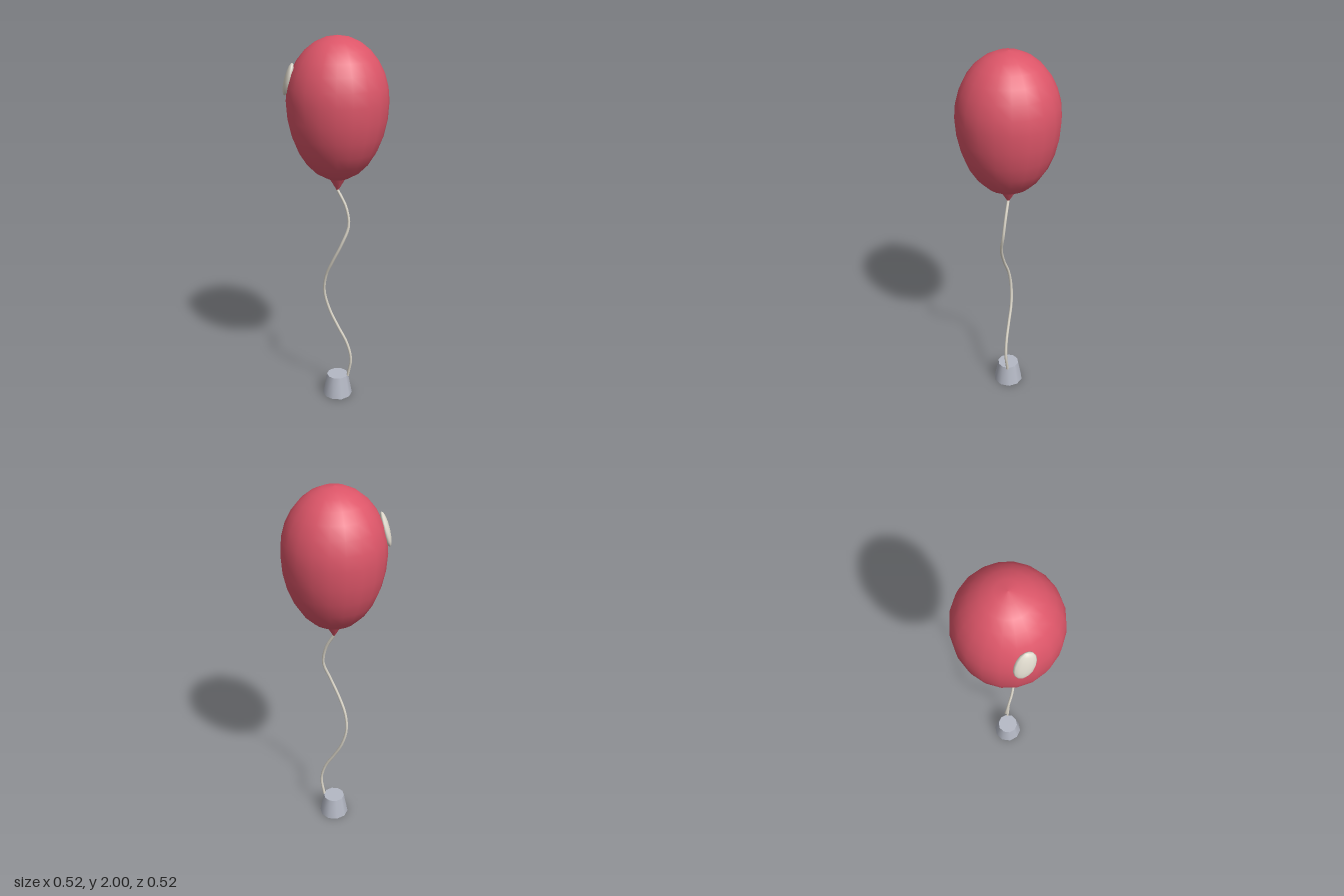
import * as THREE from 'three';

const red = new THREE.MeshStandardMaterial({ name: 'balloon red', color: 0xdc5568 });
const cream = new THREE.MeshStandardMaterial({ name: 'cream', color: 0xded9cc });
const grey = new THREE.MeshStandardMaterial({ name: 'weight grey', color: 0xb4b8c4 });

export function createModel() {
  const model = new THREE.Group();
  model.name = 'balloonOnString';

  function add(name, geometry, material, x = 0, y = 0, z = 0) {
    const mesh = new THREE.Mesh(geometry, material);
    mesh.name = name;
    mesh.position.set(x, y, z);
    model.add(mesh);
    return mesh;
  }

  // Egg-shaped body: short dome above the widest ring, longer taper below
  const profile = [];
  const rows = 14;
  for (let i = 0; i <= rows; i++) {
    const a = -Math.PI / 2 + (Math.PI * i) / rows;
    const s = Math.sin(a);
    const r = i === 0 || i === rows ? 0 : 0.26 * Math.cos(a);
    profile.push(new THREE.Vector2(r, 1.68 + s * (s < 0 ? 0.405 : 0.32)));
  }
  add('balloonBody', new THREE.LatheGeometry(profile, 20), red);

  // Knot: small cone with its tip down
  const knot = add('knot', new THREE.ConeGeometry(0.045, 0.075, 10), red, 0, 1.248, 0);
  knot.rotation.x = Math.PI;

  // Shine: flattened ellipsoid half sunk into the upper front
  const shine = add('shine', new THREE.SphereGeometry(1, 12, 8), cream, -0.121, 1.79, 0.212);
  shine.scale.set(0.05, 0.085, 0.02);
  shine.rotation.set(-0.27, -0.52, -0.28, 'YXZ');

  // Wavy string from the knot down into the weight
  const path = new THREE.CatmullRomCurve3([
    [0, 1.22, 0], [0.041, 1.13, -0.026], [0.06, 1.03, -0.03], [0.045, 0.93, 0.004],
    [0, 0.82, 0.034], [-0.042, 0.73, 0.047], [-0.06, 0.63, 0.046], [-0.043, 0.52, 0.024],
    [0, 0.42, -0.005], [0.041, 0.33, -0.034], [0.06, 0.23, -0.05], [0.041, 0.115, -0.042],
  ].map((p) => new THREE.Vector3(...p)));
  add('string', new THREE.TubeGeometry(path, 40, 0.008, 6), cream);

  // Tapered weight at the base
  add('weight', new THREE.CylinderGeometry(0.06, 0.083, 0.122, 10), grey, 0, 0.061, 0);

  return model;
}
